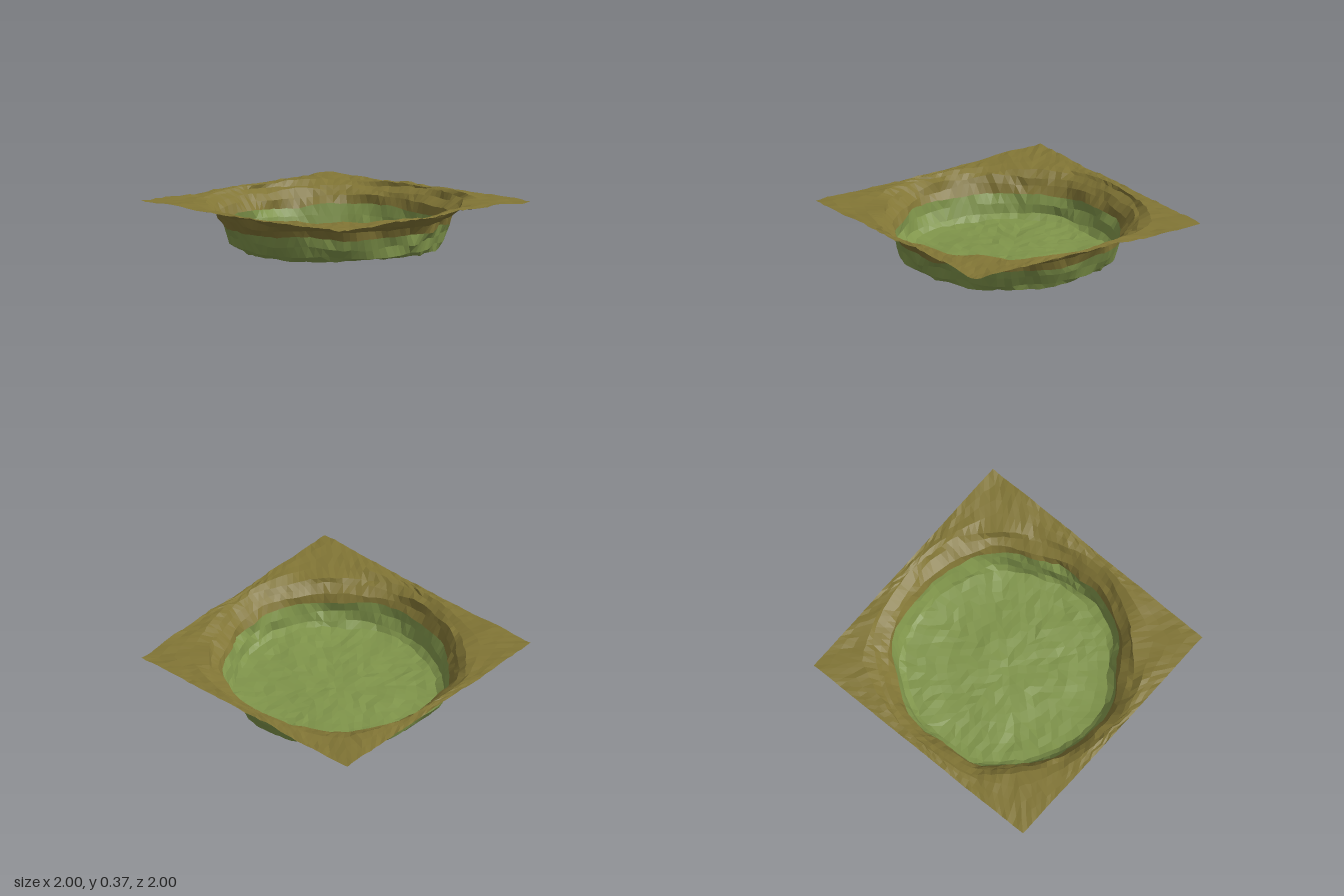
import * as THREE from 'three';

// Seeded hash in -1..1, one value per lattice point and channel
function rnd(i, j, c) {
  const s = Math.sin(i * 127.1 + j * 311.7 + c * 74.7 + 5.3) * 43758.5453;
  return (s - Math.floor(s)) * 2 - 1;
}

// Smooth lumps: the hash blended between lattice points
function lumps(x, z, c) {
  const i = Math.floor(x), j = Math.floor(z), u = x - i, v = z - j;
  const { lerp } = THREE.MathUtils;
  return lerp(lerp(rnd(i, j, c), rnd(i + 1, j, c), u), lerp(rnd(i, j + 1, c), rnd(i + 1, j + 1, c), u), v);
}

const FLOOR = 10; // rings of the basin floor
const FLOOR_RADIUS = 0.735;
// Wall rings above the floor: [radius, height]
const WALL = [[0.77, 0.078], [0.797, 0.145], [0.818, 0.212], [0.85, 0.272], [0.893, 0.318], [0.94, 0.354]];
const RIM = FLOOR + WALL.length;
const EDGE = RIM + 4; // outermost, square ring
const GREEN_RINGS = FLOOR + 3;

// Rolling height of the surrounding ground
function groundHeight(x, z) {
  return 0.367 + 0.004 * (x - z) * x + 0.016 * lumps(x * 4.5, z * 4.5, 1);
}

// Grid point (i, j): square rings become circles inside and a square outside
function point(i, j) {
  const k = Math.max(Math.abs(i), Math.abs(j));
  if (k === 0) return new THREE.Vector3(0, 0.035, 0);
  const jit = (c) => rnd(i, j, c);
  // Angle runs evenly along each side of the square ring
  const q = Math.PI / 4;
  let a;
  if (Math.abs(i) >= Math.abs(j)) a = i > 0 ? q * j / k : Math.PI - q * j / k;
  else a = j > 0 ? Math.PI / 2 - q * i / k : -Math.PI / 2 + q * i / k;
  const cos = Math.cos(a), sin = Math.sin(a);
  const wave = 0.008 * Math.sin(5 * a + 0.6) + 0.006 * Math.sin(9 * a + 2);

  if (k <= FLOOR) {
    const r = (FLOOR_RADIUS + wave) * k / FLOOR;
    const x = r * cos + jit(1) * 0.012;
    const z = r * sin + jit(2) * 0.012;
    const lip = 0.008 * (k / FLOOR) ** 6;
    return new THREE.Vector3(x, 0.034 + lip + 0.015 * lumps(x * 5, z * 5, 2) + 0.006 * jit(3), z);
  }
  if (k <= RIM) {
    const [radius, y] = WALL[k - FLOOR - 1];
    const u = cos * 4.5, v = sin * 4.5;
    const r = radius + wave + 0.03 * lumps(u, v, k) + 0.005 * jit(1);
    // The upper wall leans slightly to the right and back
    const lean = 0.015 * (k - FLOOR) / WALL.length;
    return new THREE.Vector3(
      r * cos - lean, y + 0.022 * lumps(u, v, k + 30) + 0.004 * jit(3), r * sin + 0.012 - lean);
  }
  const t = (k - RIM) / (EDGE - RIM);
  const loose = k < EDGE ? 0.006 : 0;
  const rim = 0.94 + wave;
  const x = THREE.MathUtils.lerp(rim * cos, i / k, t) + jit(1) * loose;
  const z = THREE.MathUtils.lerp(rim * sin, j / k, t) + jit(2) * loose;
  return new THREE.Vector3(
    THREE.MathUtils.clamp(x, -1, 1),
    groundHeight(x, z) + jit(3) * 0.005,
    THREE.MathUtils.clamp(z, -1, 1));
}

// Faceted surface made of the grid cells between two rings
function ringSurface(name, from, to, material) {
  const pos = [];
  const tri = (...pts) => pts.forEach((p) => pos.push(p.x, p.y, p.z));
  for (let i = -to; i < to; i++) {
    for (let j = -to; j < to; j++) {
      const ring = Math.max(Math.abs(i + 0.5), Math.abs(j + 0.5)) + 0.5;
      if (ring <= from) continue;
      const a = point(i, j), b = point(i, j + 1), c = point(i + 1, j + 1), d = point(i + 1, j);
      // Diagonals point outward so that ring corners stay round
      if ((i + 0.5) * (j + 0.5) > 0) { tri(a, b, c); tri(a, c, d); }
      else { tri(a, b, d); tri(b, c, d); }
    }
  }
  const geometry = new THREE.BufferGeometry();
  geometry.setAttribute('position', new THREE.Float32BufferAttribute(pos, 3));
  geometry.computeVertexNormals();
  const mesh = new THREE.Mesh(geometry, material);
  mesh.name = name;
  return mesh;
}

export function createModel() {
  const green = new THREE.MeshStandardMaterial({ color: 0x7f944a, side: THREE.DoubleSide, flatShading: true });
  green.name = 'moss green';
  const brown = new THREE.MeshStandardMaterial({ color: 0x817535, side: THREE.DoubleSide, flatShading: true });
  brown.name = 'earth brown';

  const group = new THREE.Group();
  group.name = 'groundBasin';
  group.add(
    ringSurface('basinFloor', 0, FLOOR, green),
    ringSurface('lowerWall', FLOOR, GREEN_RINGS, green),
    ringSurface('upperWall', GREEN_RINGS, RIM, brown),
    ringSurface('surroundingGround', RIM, EDGE, brown));

  // Rest the lowest point on y = 0
  const low = new THREE.Box3().setFromObject(group).min.y;
  group.children.forEach((m) => m.geometry.translate(0, -low, 0));
  return group;
}
